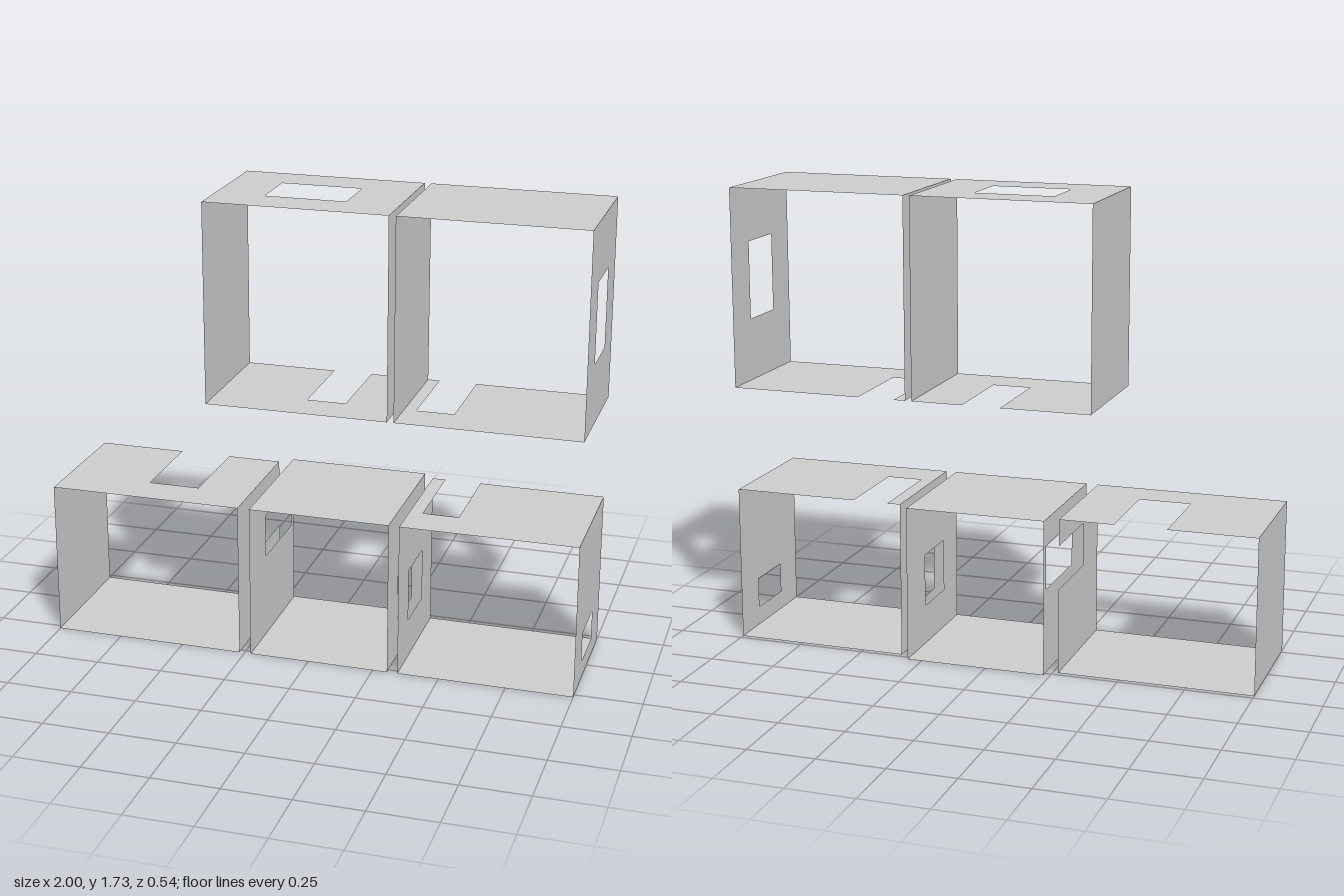
import * as THREE from 'three';

const material = new THREE.MeshStandardMaterial({ color: 0xcccccc, side: THREE.DoubleSide, flatShading: true });

// Flat sheet drawn as (z, v), where v is y for walls and x for floors and roofs.
// opening = [z0, z1, v0, v1]; if it reaches the back edge it becomes a notch.
function sheet(z0, z1, v0, v1, opening) {
  const points = [[z0, v0], [z1, v0], [z1, v1], [z0, v1]];
  const rect = opening && [
    [opening[0], opening[3]], [opening[1], opening[3]],
    [opening[1], opening[2]], [opening[0], opening[2]],
  ];
  const notch = opening && opening[0] <= z0;
  if (notch) {
    rect[0][0] = rect[3][0] = z0;
    points.push(...rect);
  }
  const toVectors = (list) => list.map(([a, b]) => new THREE.Vector2(a, b));
  const shape = new THREE.Shape(toVectors(points));
  if (opening && !notch) shape.holes.push(new THREE.Path(toVectors(rect)));
  return new THREE.ShapeGeometry(shape).rotateY(-Math.PI / 2);
}

// Room: four thin sheets forming a tube that is open at the front and back
function room({ name, x, y, back = -0.23, floor, roof, rightWall, leftWall }) {
  const front = 0.27;
  const group = new THREE.Group();
  group.name = name;
  const add = (part, geometry, px, py) => {
    const mesh = new THREE.Mesh(geometry, material);
    mesh.name = part;
    mesh.position.set(px, py, 0);
    group.add(mesh);
  };
  const slab = (hole) => sheet(back, front, x[0], x[1], hole).rotateZ(-Math.PI / 2);
  add('floor', slab(floor), 0, y[0]);
  add('roof', slab(roof), 0, y[1]);
  add('rightWall', sheet(back, front, y[0], y[1], rightWall), x[0], 0);
  add('leftWall', sheet(back, front, y[0], y[1], leftWall), x[1], 0);
  return group;
}

export function createModel() {
  const model = new THREE.Group();
  model.name = 'roomModules';

  const lower = [0, 0.585];
  const upper = [0.98, 1.73];
  const stair = (x0, x1) => [-0.23, 0.12, x0, x1]; // stairwell notch
  const win = (y0, y1) => [-0.08, 0.12, y0, y1];   // wall window
  const hatch = [-0.24, 0.08, 0.32, 0.485];        // wide hatch between lower rooms

  const rooms = [
    // Lower storey
    { name: 'lowerRightRoom', x: [-1, -0.27], y: lower, roof: stair(-0.67, -0.475), leftWall: hatch },
    { name: 'lowerMiddleRoom', x: [-0.225, 0.305], y: lower, back: -0.27, rightWall: hatch, leftWall: win(0.15, 0.35) },
    { name: 'lowerLeftRoom', x: [0.345, 1], y: lower, roof: stair(0.395, 0.53), rightWall: win(0.15, 0.35), leftWall: win(0.07, 0.185) },
    // Upper storey
    { name: 'upperRightRoom', x: [-0.385, 0.295], y: upper, floor: stair(-0.045, 0.1), roof: [-0.08, 0.12, -0.2, 0.1] },
    { name: 'upperLeftRoom', x: [0.32, 1], y: upper, floor: stair(0.365, 0.505), leftWall: win(1.215, 1.51) },
  ];
  for (const spec of rooms) model.add(room(spec));
  return model;
}
